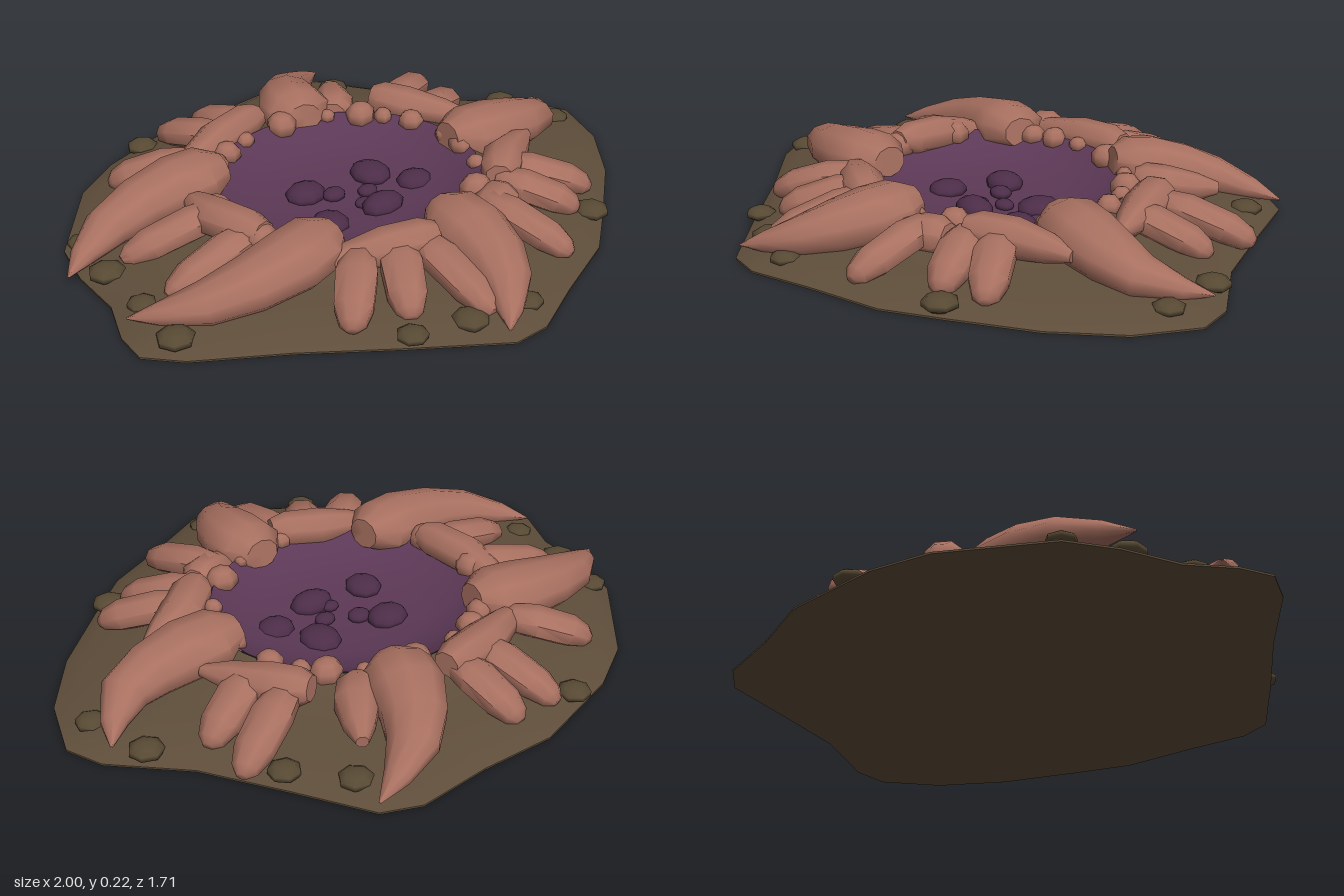
import * as THREE from 'three';
import { toCreasedNormals } from 'three/addons/utils/BufferGeometryUtils.js';

const mat = (name, color) => {
  const m = new THREE.MeshStandardMaterial({ color });
  m.name = name;
  return m;
};

// Skin over a list of equal closed rings of Vector3
function loft(rings, crease = 0.7) {
  const n = rings[0].length, pos = [], idx = [];
  rings.forEach(r => r.forEach(p => pos.push(p.x, p.y, p.z)));
  for (let i = 0; i < rings.length - 1; i++) {
    for (let j = 0; j < n; j++) {
      const a = i * n + j, b = i * n + (j + 1) % n, c = a + n, d = b + n;
      idx.push(a, c, b, b, c, d);
    }
  }
  const g = new THREE.BufferGeometry();
  g.setAttribute('position', new THREE.Float32BufferAttribute(pos, 3));
  g.setIndex(idx);
  return toCreasedNormals(g, crease);
}

// Tapered horn along a path; profile rows are [t, half width, half height]
function horn(points, profile, sides = 8) {
  const curve = new THREE.CatmullRomCurve3(points.map(p => new THREE.Vector3(...p)));
  const up = new THREE.Vector3(0, 1, 0);
  return loft(profile.map(([t, w, h]) => {
    const p = curve.getPoint(t), T = curve.getTangent(t);
    const S = T.clone().cross(up).normalize(), U = S.clone().cross(T);
    return Array.from({ length: sides }, (_, j) => {
      const a = (j + 0.5) / sides * Math.PI * 2;
      return p.clone().addScaledVector(S, Math.cos(a) * w).addScaledVector(U, Math.sin(a) * h);
    });
  }), 0.9);
}

// Bowl rim ellipse
const CX = -0.05, CZ = -0.03, RX = 0.46, RZ = 0.42;
const rim = (a, s, y) => new THREE.Vector3(CX + Math.cos(a) * RX * s, y, CZ + Math.sin(a) * RZ * s);

const OUTLINE = [
  [-0.99, 0.11], [-0.93, -0.04], [-0.92, -0.23], [-0.88, -0.39], [-0.65, -0.66], [-0.48, -0.76],
  [-0.16, -0.855], [0.09, -0.845], [0.33, -0.86], [0.45, -0.81], [0.59, -0.59], [0.75, -0.35],
  [0.95, -0.16], [1, -0.04], [0.93, 0.16], [0.78, 0.35], [0.57, 0.53], [0.41, 0.66], [0.17, 0.76],
  [-0.02, 0.85], [-0.14, 0.85], [-0.4, 0.67], [-0.66, 0.48], [-0.91, 0.32], [-1, 0.22],
];

// Horn paths in plan, base to tip
const CLAWS = [
  [[0.08, -0.4], [0.14, -0.57], [0.25, -0.71], [0.45, -0.81]],
  [[-0.33, -0.31], [-0.55, -0.34], [-0.78, -0.31], [-0.97, -0.21]],
  [[-0.31, 0.22], [-0.55, 0.25], [-0.78, 0.21], [-0.95, 0.08]],
  [[0.04, 0.32], [0.03, 0.53], [-0.03, 0.69], [-0.15, 0.83]],
  [[0.36, 0.01], [0.6, 0.03], [0.78, 0], [0.91, -0.15]],
];
const RIDGES = [
  [[-0.03, -0.53], [-0.22, -0.49], [-0.43, -0.41]],
  [[0.36, -0.38], [0.43, -0.27], [0.55, -0.08]],
  [[0.31, 0.31], [0.43, 0.21], [0.61, 0.13]],
  [[-0.07, 0.43], [-0.23, 0.37], [-0.41, 0.31]],
  [[-0.47, 0.1], [-0.51, -0.08], [-0.5, -0.26]],
  [[0.29, 0.35], [0.2, 0.39], [0.09, 0.42]],
  [[0.2, -0.4], [0.27, -0.48], [0.36, -0.62]],
];
// Petals: outer x, z then inner x, z
const PETALS = [
  [-0.58, -0.6, -0.36, -0.43], [-0.26, -0.78, -0.19, -0.47], [-0.11, -0.78, -0.08, -0.5],
  [0.69, -0.49, 0.4, -0.32], [0.69, -0.32, 0.43, -0.19], [0.61, 0.43, 0.38, 0.23],
  [0.48, 0.5, 0.31, 0.29], [0.27, 0.67, 0.19, 0.35], [-0.13, 0.74, -0.11, 0.38],
  [-0.33, 0.61, -0.18, 0.37], [-0.5, 0.55, -0.3, 0.34], [-0.8, -0.18, -0.45, -0.11],
  [-0.8, 0.07, -0.45, 0.05],
];
const ROCKS = [
  [-0.35, -0.76], [0.43, -0.68], [0.57, -0.53], [0.83, -0.21], [0.89, 0], [0.52, 0.52], [-0.37, 0.66],
  [-0.19, 0.71], [0, 0.75], [-0.89, 0.24], [-0.87, 0.04], [-0.86, -0.17], [-0.83, -0.36],
];
// Bumps: x, z, half width, half depth
const BUMPS = [
  [-0.14, -0.12, 0.07, 0.06], [0.11, -0.09, 0.065, 0.075], [-0.07, -0.06, 0.04, 0.035],
  [0.03, -0.01, 0.036, 0.03], [-0.03, 0.04, 0.03, 0.025], [0.01, 0.09, 0.077, 0.055],
  [-0.19, 0.07, 0.06, 0.065], [0.19, 0.04, 0.063, 0.058],
];

export function createModel() {
  const root = new THREE.Group();
  root.name = 'clawedPit';
  const earth = mat('earth', 0x5e4d3a), stone = mat('stone', 0x584a34);
  const flesh = mat('flesh', 0xa87060);
  const throat = mat('throat', 0x5c3856), bump = mat('darkThroat', 0x4d2d49);
  const add = (parent, name, geometry, material) => {
    const m = new THREE.Mesh(geometry, material);
    m.name = name;
    parent.add(m);
    return m;
  };
  const group = name => {
    const g = new THREE.Group();
    g.name = name;
    root.add(g);
    return g;
  };

  // Earth mound: flat underside, bevelled edge, slope up to the bowl rim
  const mound = (k, y) => OUTLINE.map(([x, z]) => {
    const inner = rim(Math.atan2((z - CZ) / RZ, (x - CX) / RX), 1, y);
    return inner.lerp(new THREE.Vector3(x, y, z), k);
  });
  const centre = OUTLINE.map(() => new THREE.Vector3());
  add(root, 'mound', loft([centre, mound(1, 0), mound(1, 0.006), mound(0.86, 0.035),
    mound(0.5, 0.055), mound(0.2, 0.08), mound(0, 0.125)], 0.6), earth);

  // Concave throat
  const bowl = [[1, 0.13], [0.9, 0.105], [0.75, 0.075], [0.55, 0.055], [0.3, 0.045], [0, 0.042]];
  add(root, 'throatBowl', loft(bowl.map(([s, y]) =>
    Array.from({ length: 32 }, (_, j) => rim(j / 32 * Math.PI * 2, s, y))), 1), throat);
  const bumps = group('throatBumps');
  BUMPS.forEach(([x, z, w, d]) => {
    const m = add(bumps, 'throatBump', new THREE.SphereGeometry(1, 9, 7), bump);
    m.position.set(x, 0.052, z);
    m.scale.set(w, w * 0.55, d);
  });

  // Five great claws arching outward
  const claws = group('claws');
  const clawY = [0.14, 0.115, 0.08, 0.04];
  const clawProfile = [[0, 0, 0], [0, 0.06, 0.05], [0.1, 0.115, 0.085], [0.25, 0.12, 0.09],
    [0.45, 0.102, 0.08], [0.65, 0.08, 0.062], [0.85, 0.042, 0.034], [1, 0.003, 0.003]];
  CLAWS.forEach(path => add(claws, 'claw',
    horn(path.map(([x, z], i) => [x, clawY[i], z]), clawProfile, 10), flesh));

  // Curled ridges around the rim between the claws
  const ridges = group('rimRidges');
  const ridgeProfile = [[0, 0, 0], [0, 0.045, 0.04], [0.15, 0.068, 0.06], [0.5, 0.073, 0.062],
    [0.8, 0.05, 0.045], [1, 0.02, 0.02], [1, 0, 0]];
  RIDGES.forEach((path, k) => {
    const lift = k < 5 ? 0.14 : 0.115;
    add(ridges, 'rimRidge', horn(path.map(([x, z], i) => [x, lift - 0.012 * i, z]), ridgeProfile), flesh);
  });

  // Rounded petals lying on the mound
  const petals = group('petals');
  const petalProfile = [[0, 0, 0], [0, 0.03, 0.025], [0.1, 0.055, 0.045], [0.35, 0.067, 0.052],
    [0.75, 0.062, 0.05], [0.93, 0.042, 0.036], [1, 0.018, 0.015], [1, 0, 0]];
  PETALS.forEach(([ox, oz, ix, iz]) => add(petals, 'petal',
    horn([[ix, 0.125, iz], [(ix + ox) / 2, 0.1, (iz + oz) / 2], [ox, 0.045, oz]], petalProfile), flesh));

  // Small knuckles lining the rim
  const knuckles = group('knuckles');
  for (let i = 0; i < 22; i++) {
    const m = add(knuckles, 'knuckle', new THREE.SphereGeometry(1, 7, 5), flesh);
    m.position.copy(rim((i + 0.3 * Math.sin(i * 5)) / 22 * Math.PI * 2, 0.97, 0.125));
    const s = 0.036 + 0.012 * Math.sin(i * 2.7);
    m.scale.set(s * 1.2, s, s * 1.1);
    m.rotation.y = i;
  }

  // Stones scattered on the mound
  const stones = group('stones');
  ROCKS.forEach(([x, z], i) => {
    const m = add(stones, 'stone', new THREE.SphereGeometry(1, 7, 5), stone);
    const s = 0.054 + 0.006 * Math.sin(i * 3);
    m.position.set(x, 0.034, z);
    m.scale.set(s, s * 0.45, s);
    m.rotation.y = i * 1.3;
  });
  return root;
}
